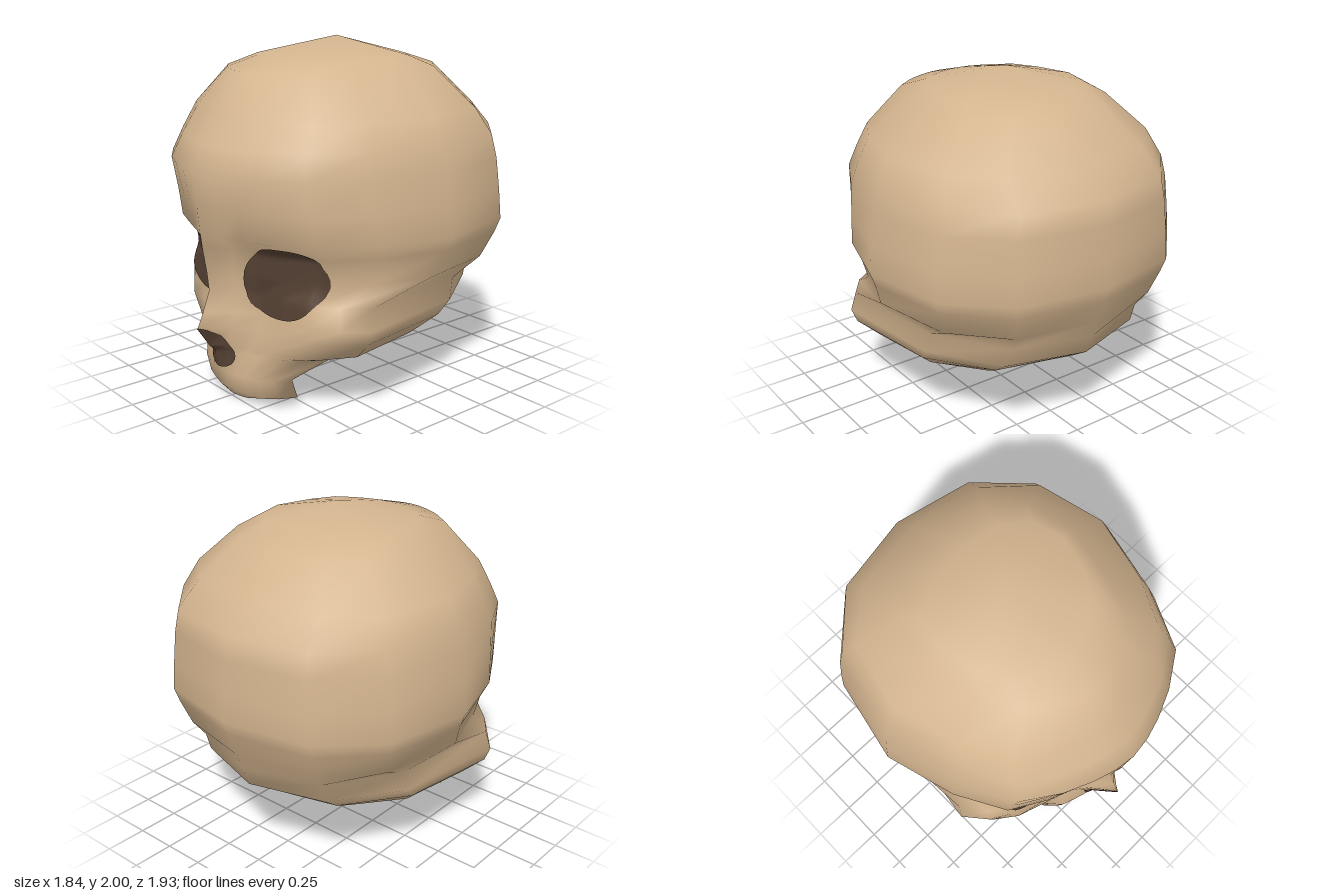
import * as THREE from 'three';

const bone = new THREE.MeshStandardMaterial({ color: 0xd4b58f });
bone.name = 'bone';
const hollow = new THREE.MeshStandardMaterial({ color: 0x584335, side: THREE.DoubleSide });
hollow.name = 'dark hollow';

// Front half of every ring: share of the half width, and share of the depth there
const ACROSS = [0, 0.14, 0.28, 0.47, 0.7, 0.87, 1];
const DEPTH = [1, 0.985, 0.95, 0.88, 0.75, 0.45, 0];
const BACK_STEPS = 3;

// Ring at height y: half width, midline front z, back z,
// z of the face beside the nose ridge, z of the widest point
function ring(y, width, front, back, face = front, middle = -0.06) {
  const half = ACROSS.map((u, i) => {
    const x = u * width;
    const ridge = (front - face) * Math.exp(-((x / 0.12) ** 2));
    return new THREE.Vector3(x, y, middle + (face - middle) * DEPTH[i] + ridge);
  });
  for (let i = 1; i <= BACK_STEPS; i++) {
    const a = (i / BACK_STEPS) * Math.PI / 2;
    const x = i === BACK_STEPS ? 0 : width * Math.cos(a) ** 0.83;
    half.push(new THREE.Vector3(x, y, middle + (back - middle) * Math.sin(a) ** 0.83));
  }
  const mirrored = half.slice(1, -1).reverse().map((p) => new THREE.Vector3(-p.x, p.y, p.z));
  return [...half, ...mirrored];
}

// Quads between neighbouring closed loops of n points, starting at vertex "first"
function bridgeLoops(index, first, n, count) {
  for (let i = 0; i < count - 1; i++) {
    for (let j = 0; j < n; j++) {
      const a = first + i * n + j, b = first + i * n + (j + 1) % n;
      index.push(a, a + n, b, b, a + n, b + n);
    }
  }
}

function smoothGeometry(points, index) {
  const g = new THREE.BufferGeometry().setFromPoints(points);
  g.setIndex(index);
  g.computeVertexNormals();
  return g;
}

function skullGeometry() {
  const rings = [
    // cranium
    ring(1.9, 0.44, 0.42, -0.37),
    ring(1.84, 0.53, 0.64, -0.57),
    ring(1.62, 0.78, 0.79, -0.77),
    ring(1.47, 0.84, 0.885, -0.92),
    ring(1.34, 0.88, 0.96, -0.935),
    // forehead, brow and orbits
    ring(1.15, 0.905, 0.94, -0.95, 0.91),
    ring(0.99, 0.92, 0.925, -0.96, 0.88),
    ring(0.91, 0.89, 0.915, -0.935, 0.77),
    ring(0.76, 0.83, 0.89, -0.88, 0.75, 0),
    ring(0.66, 0.79, 0.88, -0.845, 0.7, 0.38),
    // cheekbones and nose
    ring(0.54, 0.81, 0.925, -0.8, 0.69, 0.41),
    ring(0.46, 0.78, 0.96, -0.68, 0.72, 0.4),
    ring(0.34, 0.65, 0.88, -0.46, 0.74, 0.37),
    // upper jaw
    ring(0.3, 0.5, 0.84, 0.16, 0.76, 0.42),
    ring(0.17, 0.36, 0.815, 0.57, 0.8, 0.59),
    ring(0.06, 0.37, 0.785, 0.53, 0.77, 0.56),
    ring(0.01, 0.15, 0.74, 0.61, 0.735, 0.66),
  ];
  const n = rings[0].length;
  const points = [...rings.flat(), new THREE.Vector3(0, 2, -0.03), new THREE.Vector3(0, 0, 0.68)];
  const top = points.length - 2, bottom = points.length - 1, last = top - n;
  const index = [];
  for (let j = 0; j < n; j++) {
    const k = (j + 1) % n;
    index.push(top, j, k, bottom, last + k, last + j);
  }
  bridgeLoops(index, 0, n, rings.length);
  return smoothGeometry(points, index);
}

// Thin patch hugging the face; outline(c, s) gives the x,y offset of the rim from the centre
function hollowPatch(name, skull, cx, cy, outline) {
  const steps = 10, n = 36;
  const ray = new THREE.Raycaster();
  const drop = (x, y) => {
    ray.set(new THREE.Vector3(x, y, 3), new THREE.Vector3(0, 0, -1));
    return new THREE.Vector3(x, y, ray.intersectObject(skull)[0].point.z + 0.009);
  };
  const points = [drop(cx, cy)], index = [];
  for (let i = 1; i <= steps; i++) {
    for (let j = 0; j < n; j++) {
      const a = (j / n) * Math.PI * 2;
      const [x, y] = outline(Math.cos(a), Math.sin(a));
      points.push(drop(cx + x * i / steps, cy + y * i / steps));
    }
  }
  for (let j = 0; j < n; j++) index.push(0, 1 + j, 1 + (j + 1) % n);
  bridgeLoops(index, 1, n, steps);
  const mesh = new THREE.Mesh(smoothGeometry(points, index), hollow);
  mesh.name = name;
  return mesh;
}

export function createModel() {
  const group = new THREE.Group();
  group.name = 'skull';
  const skull = new THREE.Mesh(skullGeometry(), bone);
  skull.name = 'craniumAndFace';
  group.add(skull);

  // eye sockets: squarish ovals leaning outwards at the top
  const square = (v) => Math.sign(v) * Math.abs(v) ** 0.85;
  for (const [name, side] of [['leftEyeSocket', 1], ['rightEyeSocket', -1]]) {
    group.add(hollowPatch(name, skull, side * 0.39, 0.752, (c, s) => [
      0.222 * square(c) + side * 0.05 * s,
      0.212 * square(s),
    ]));
  }

  // nasal opening: narrower at the top
  group.add(hollowPatch('noseOpening', skull, 0, 0.328, (c, s) => [
    0.105 * c * (1 - 0.3 * s),
    0.128 * s,
  ]));
  return group;
}
